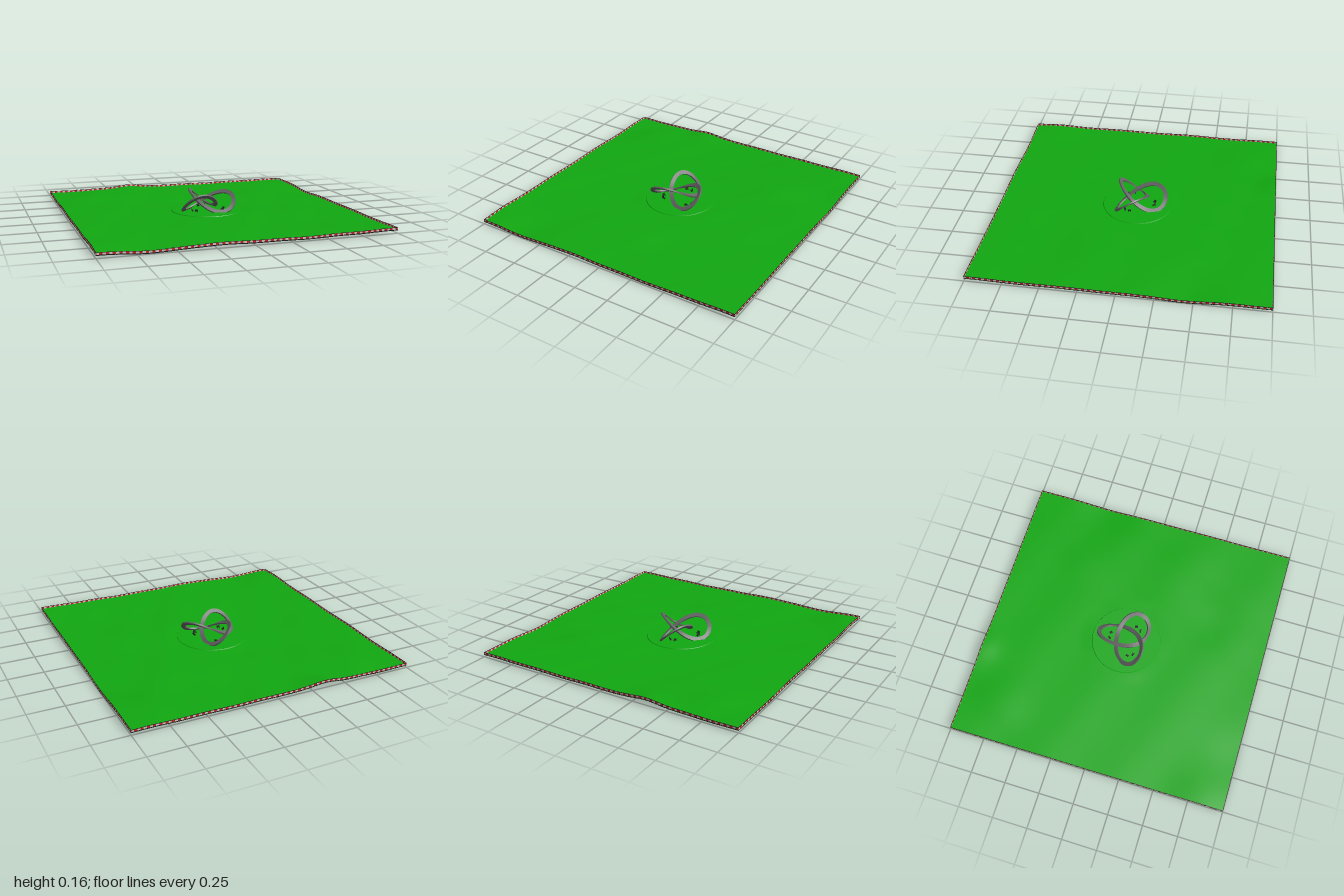
import * as THREE from 'three';
import { mergeGeometries } from 'three/addons/utils/BufferGeometryUtils.js';

const paint = (color) => new THREE.MeshStandardMaterial({ color, side: THREE.DoubleSide });

function add(parent, name, geometry, material) {
  const mesh = new THREE.Mesh(geometry, material);
  mesh.name = name;
  parent.add(mesh);
  return mesh;
}

// Gentle hills: [x, z, height, spread]
const HILLS = [
  [-0.36, -1, 0.018, 0.12], [-0.62, 1, -0.013, 0.2], [1, -0.45, -0.012, 0.2],
  [-1, 0.8, 0.011, 0.2], [-0.7, -0.7, 0.009, 0.2], [0.7, 0.2, 0.006, 0.2],
  [0.3, 0.6, -0.005, 0.15], [0.5, -0.5, 0.005, 0.15],
];

function groundHeight(x, z) {
  let y = 0.0025 * Math.sin(5 * x + 3 * z) + 0.0018 * Math.sin(11 * z - 4 * x + 1)
    + 0.0012 * Math.sin(17 * x + 9 * z + 2);
  for (const [hx, hz, h, s] of HILLS) y += h * Math.exp(-((x - hx) ** 2 + (z - hz) ** 2) / (s * s));
  // flatten towards the round clearing in the middle
  return 0.025 + y * THREE.MathUtils.smoothstep(Math.hypot(x, z), 0.22, 0.36);
}

// Grass sheet
function terrainGeometry() {
  const geo = new THREE.PlaneGeometry(2, 2, 90, 90).rotateX(-Math.PI / 2);
  const p = geo.attributes.position;
  for (let i = 0; i < p.count; i++) p.setY(i, groundHeight(p.getX(i), p.getZ(i)));
  geo.computeVertexNormals();
  return geo;
}

// Striped barrier that follows the ground along all four edges
function addBarrier(root) {
  const n = 100, step = 2 / n, red = [], white = [], dark = [];
  for (let side = 0; side < 4; side++) {
    for (let i = 0; i < n; i++) {
      const a = -1 + (i + 0.5) * step;
      const turn = (side * Math.PI) / 2;
      const p = new THREE.Vector3(a, 0, 0.998).applyAxisAngle(new THREE.Vector3(0, 1, 0), turn);
      const y = groundHeight(p.x, p.z);
      const box = (h, dy) => new THREE.BoxGeometry(step, h, 0.003).rotateY(turn).translate(p.x, y + dy, p.z);
      (i % 2 ? red : white).push(box(0.012, 0.006));
      dark.push(box(0.006, -0.003), box(0.002, 0.013));
    }
  }
  const barrier = new THREE.Group();
  barrier.name = 'barrier';
  add(barrier, 'redStripes', mergeGeometries(red), paint(0xcc2222));
  add(barrier, 'whiteStripes', mergeGeometries(white), paint(0xdddddd));
  add(barrier, 'barrierRails', mergeGeometries(dark), paint(0x1c1c1c));
  root.add(barrier);
}

// Three-lobed knot centre line
function knotPoint(t) {
  const s = 0.068;
  return new THREE.Vector3(
    s * (Math.sin(t) + 2 * Math.sin(2 * t)),
    0.092 + 0.06 * Math.sin(3 * t),
    s * (Math.cos(t) - 2 * Math.cos(2 * t)),
  );
}

// Flat band swept along the knot, its width lying in the plane of each lobe
function knotGeometry(width, thickness) {
  const n = 240, e = 0.01, pos = [], index = [];
  const corners = [[1, 1], [-1, 1], [-1, -1], [1, -1]];
  for (let i = 0; i <= n; i++) {
    const t = (i / n) * Math.PI * 2;
    const p = knotPoint(t), before = knotPoint(t - e), after = knotPoint(t + e);
    const tangent = after.clone().sub(before).normalize();
    const normal = after.add(before).addScaledVector(p, -2);
    normal.addScaledVector(tangent, -normal.dot(tangent)).normalize();
    const binormal = tangent.clone().cross(normal);
    // every side owns its two corners, so the band keeps sharp edges
    for (let k = 0; k < 4; k++) {
      for (const [u, v] of [corners[k], corners[(k + 1) % 4]]) {
        const q = p.clone().addScaledVector(normal, (u * width) / 2).addScaledVector(binormal, (v * thickness) / 2);
        pos.push(q.x, q.y, q.z);
      }
      if (i < n) {
        const a = i * 8 + k * 2, b = a + 8;
        index.push(a, a + 1, b, a + 1, b + 1, b);
      }
    }
  }
  const geo = new THREE.BufferGeometry();
  geo.setAttribute('position', new THREE.Float32BufferAttribute(pos, 3));
  geo.setIndex(index);
  geo.computeVertexNormals();
  return geo;
}

// Pair of small benches under one lobe
function seatGroup() {
  const group = new THREE.Group();
  group.name = 'seats';
  const mat = paint(0x2a2a2a);
  for (const side of [-1, 1]) {
    const bench = new THREE.Group();
    bench.name = 'bench';
    add(bench, 'benchSeat', new THREE.BoxGeometry(0.02, 0.003, 0.012), mat).position.y = 0.038;
    add(bench, 'benchBack', new THREE.BoxGeometry(0.02, 0.012, 0.003), mat).position.set(0, 0.044, -0.006);
    for (const x of [-0.008, 0.008]) {
      add(bench, 'benchLeg', new THREE.BoxGeometry(0.003, 0.01, 0.01), mat).position.set(x, 0.033, 0);
    }
    bench.position.set(side * 0.02, 0, -0.122);
    bench.rotation.y = -side * 0.8;
    group.add(bench);
  }
  return group;
}

export function createModel() {
  const root = new THREE.Group();
  root.name = 'parkSculpture';

  add(root, 'grass', terrainGeometry(), paint(0x11a811));

  // Round clearing
  const plaza = add(root, 'clearing', new THREE.CylinderGeometry(0.25, 0.255, 0.008, 64), paint(0x11a811));
  plaza.position.y = 0.025;

  addBarrier(root);
  add(root, 'knotSculpture', knotGeometry(0.03, 0.011), paint(0x666666));

  for (let i = 0; i < 3; i++) {
    const seats = seatGroup();
    seats.rotation.y = (i * Math.PI * 2) / 3;
    root.add(seats);
  }
  return root;
}
